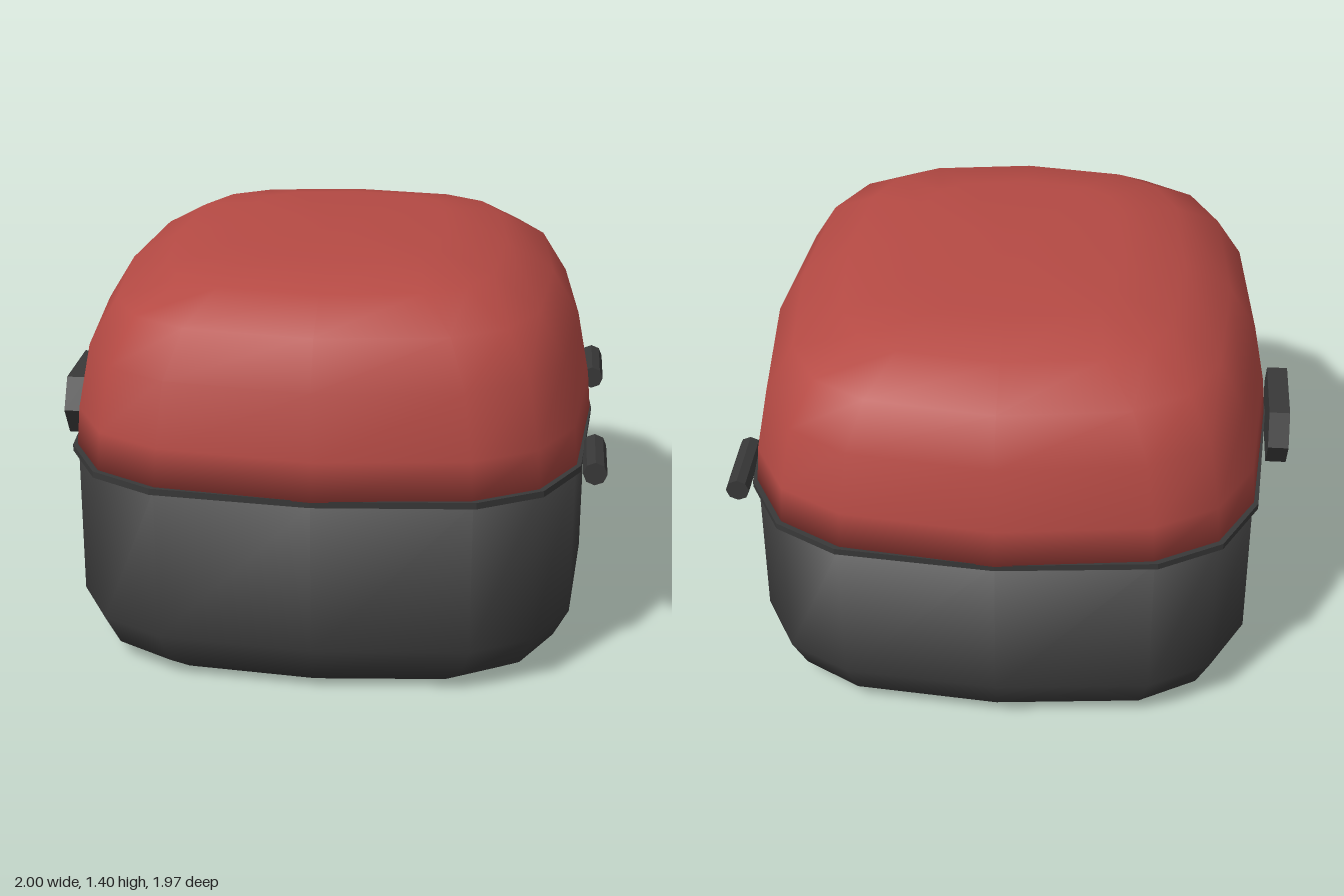
import * as THREE from 'three';

const CX = 0.015; // the body sits slightly off centre, balancing hinges and latch

// Mirrors one quarter of an outline [x, z] into the full 16-point ring
function ring(quarter) {
  const mid = quarter.slice(1, -1);
  const flip = (pts, sx, sz) => pts.map(([x, z]) => [x * sx, z * sz]);
  const [side, front] = [quarter[0], quarter[quarter.length - 1]];
  return [
    side, ...mid, front, ...flip(mid, -1, 1).reverse(),
    [-side[0], 0], ...flip(mid, -1, -1), [0, -front[1]], ...flip(mid, 1, -1).reverse(),
  ];
}

// Stacks scaled copies of an outline: levels are [y, half width, half depth]
function loft(outline, levels) {
  const n = outline.length;
  const w = outline[0][0], d = outline[n / 4][1];
  const pos = [], idx = [];
  for (const [y, hx, hz] of levels)
    for (const [x, z] of outline) pos.push((x * hx) / w, y, (z * hz) / d);
  const last = (levels.length - 1) * n;
  const bottom = levels.length * n, top = bottom + 1;
  pos.push(0, levels[0][0], 0, 0, levels[levels.length - 1][0], 0);
  for (let i = 0; i < n; i++) {
    const k = (i + 1) % n;
    for (let r = 0; r < last; r += n)
      idx.push(r + i, r + n + i, r + k, r + k, r + n + i, r + n + k);
    idx.push(bottom, i, k, top, last + k, last + i);
  }
  const g = new THREE.BufferGeometry();
  g.setAttribute('position', new THREE.Float32BufferAttribute(pos, 3));
  g.setIndex(idx);
  g.computeVertexNormals();
  return g;
}

// Gives every face its own flat normal
function faceted(geometry) {
  const g = geometry.toNonIndexed();
  g.computeVertexNormals();
  return g;
}

export function createModel() {
  const red = new THREE.MeshStandardMaterial({ color: 0xb54a44 });
  red.name = 'lid red';
  const dark = new THREE.MeshStandardMaterial({ color: 0x383838 });
  dark.name = 'charcoal';

  const model = new THREE.Group();
  model.name = 'case';
  const add = (name, geometry, material, x = 0, y = 0, z = 0) => {
    const mesh = new THREE.Mesh(geometry, material);
    mesh.name = name;
    mesh.position.set(x, y, z);
    model.add(mesh);
    return mesh;
  };

  const rimOutline = ring([[0.935, 0], [0.895, 0.575], [0.77, 0.81], [0.55, 0.935], [0, 0.985]]);
  const lidOutline = ring([[0.93, 0], [0.88, 0.565], [0.755, 0.795], [0.535, 0.92], [0, 0.985]]);

  // Lower tub with rounded bottom edge
  add('base', loft(rimOutline, [
    [0, 0.77, 0.85], [0.06, 0.86, 0.93], [0.17, 0.915, 0.972], [0.72, 0.915, 0.972],
  ]), dark, CX);

  // Thin lip between tub and lid
  add('rim', faceted(loft(rimOutline, [[0.71, 0.935, 0.985], [0.733, 0.935, 0.985]])), dark, CX);

  // Domed lid with a flat top
  add('lid', loft(lidOutline, [
    [0.73, 0.93, 0.987], [0.87, 0.918, 0.98], [1.1, 0.873, 0.945],
    [1.26, 0.775, 0.858], [1.36, 0.605, 0.7], [1.405, 0.385, 0.485],
  ]), red, CX);

  // Two octagonal hinge barrels on one side
  for (const [name, z] of [['frontHinge', 0.485], ['backHinge', -0.485]]) {
    const barrel = new THREE.CylinderGeometry(0.042, 0.042, 0.268, 8);
    barrel.rotateX(Math.PI / 2);
    add(name, faceted(barrel), dark, 0.958, 0.722, z);
  }

  // Six-sided latch plate on the opposite side
  const plate = new THREE.Shape([
    [0.217, 0], [0.15, 0.11], [-0.15, 0.11], [-0.217, 0], [-0.15, -0.11], [0.15, -0.11],
  ].map(([x, y]) => new THREE.Vector2(x, y)));
  const latch = new THREE.ExtrudeGeometry(plate, { depth: 0.075, bevelEnabled: false });
  latch.rotateY(-Math.PI / 2);
  add('latch', latch, dark, -0.925, 0.72, 0);

  return model;
}
